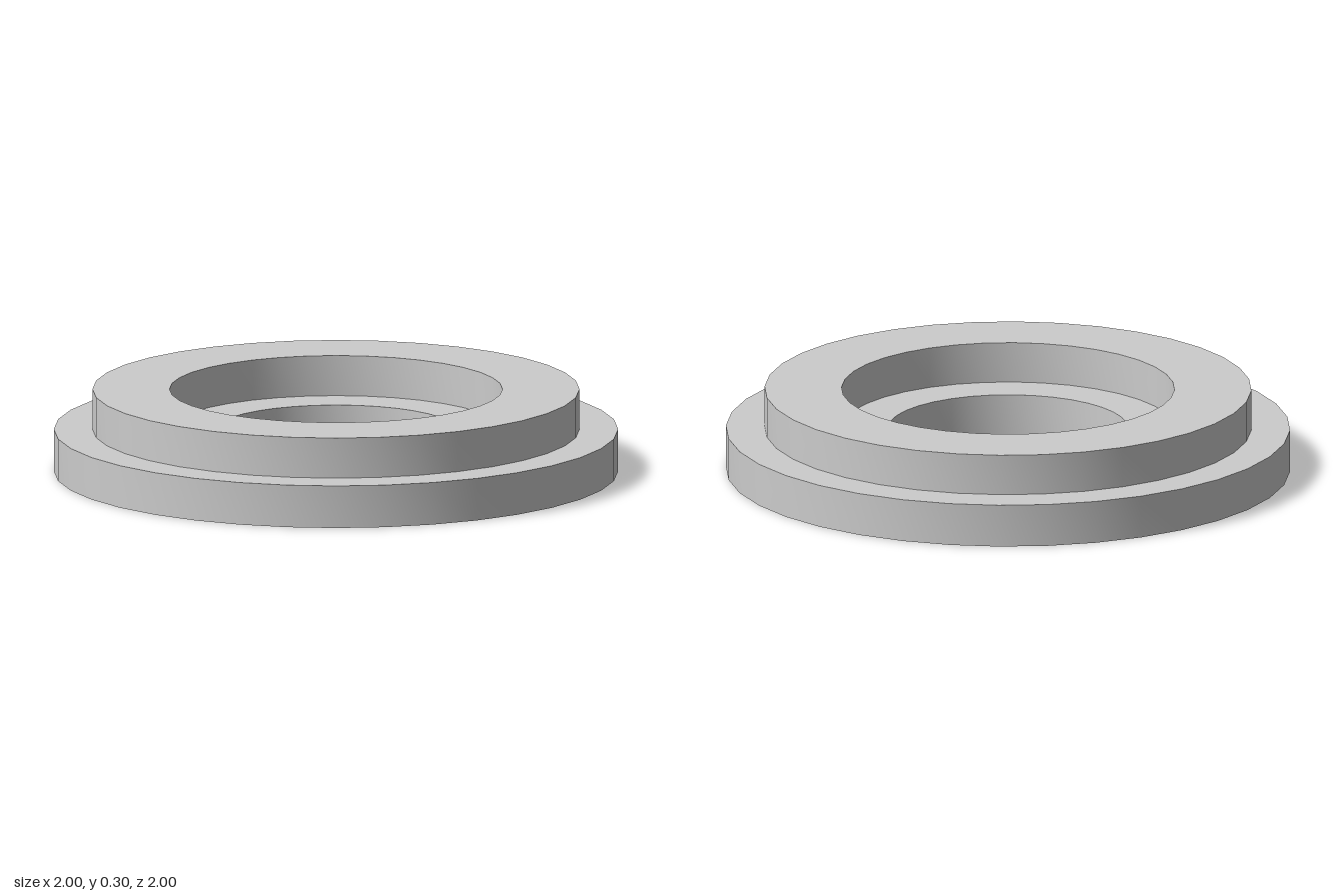
import * as THREE from 'three';
import { toCreasedNormals } from 'three/addons/utils/BufferGeometryUtils.js';

const SEGMENTS = 36;
const HOLE = 0.425, BORE = 0.59, COLLAR = 0.863, FLANGE = 1;
const STEP = 0.152, TOP = 0.297;

export function createModel() {
  const group = new THREE.Group();
  group.name = 'steppedRing';

  // Closed cross-section: base, flange rim, raised collar, counterbore, through hole
  const profile = [
    [HOLE, 0], [FLANGE, 0], [FLANGE, STEP],
    [COLLAR, STEP], [COLLAR, TOP],
    [BORE, TOP], [BORE, STEP],
    [HOLE, STEP], [HOLE, 0],
  ].map(([r, y]) => new THREE.Vector2(r, y));

  // Round walls stay smooth, the steps stay sharp
  const geometry = toCreasedNormals(new THREE.LatheGeometry(profile, SEGMENTS), Math.PI / 6);
  const ring = new THREE.Mesh(geometry, new THREE.MeshStandardMaterial({ color: 0xcccccc }));
  ring.name = 'flangedRing';
  group.add(ring);

  return group;
}
